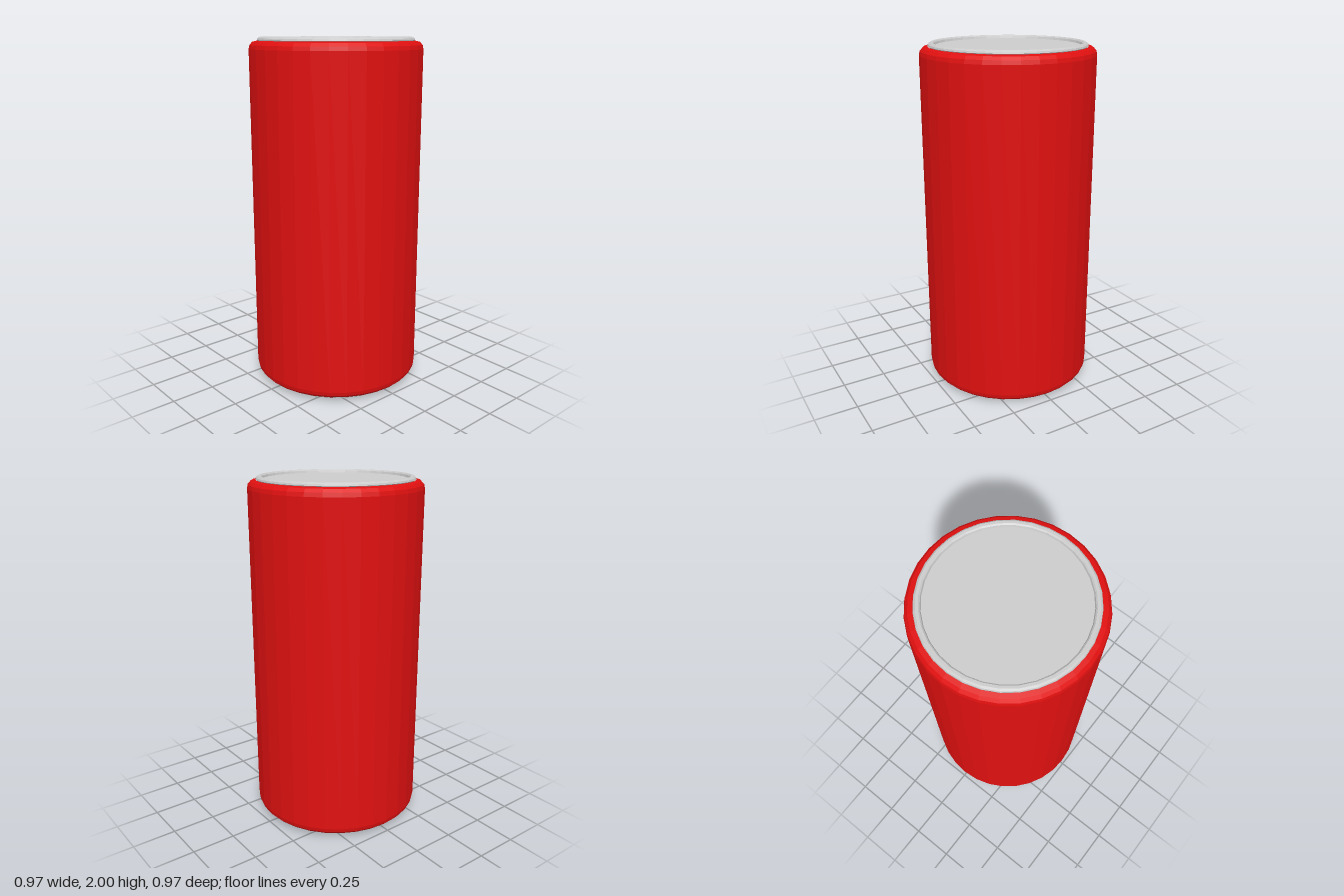
import * as THREE from 'three';

const SIDES = 32;

// Faceted solid of revolution; the profile runs from bottom to top
function turned(name, profile, color) {
  const points = profile.map(([r, y]) => new THREE.Vector2(r, y));
  const material = new THREE.MeshStandardMaterial({ color, flatShading: true });
  const mesh = new THREE.Mesh(new THREE.LatheGeometry(points, SIDES), material);
  mesh.name = name;
  return mesh;
}

export function createModel() {
  const group = new THREE.Group();
  group.name = 'can';

  // Red body with rounded shoulders, mirrored about mid height
  const shoulder = [[0.487, 1.935], [0.482, 1.957], [0.466, 1.974], [0.44, 1.98]];
  const foot = shoulder.map(([r, y]) => [r, 2 - y]).reverse();
  group.add(turned('body', [...foot, ...shoulder], 0xe01010));

  // Metal end: raised rounded rim around a slightly sunken flat disc
  const end = [[0.43, 1.975], [0.44, 1.983], [0.437, 1.992], [0.427, 2],
    [0.413, 2], [0.406, 1.994], [0.402, 1.982], [0, 1.982]];
  group.add(turned('topEnd', end, 0xcccccc));
  group.add(turned('bottomEnd', end.map(([r, y]) => [r, 2 - y]).reverse(), 0xcccccc));

  return group;
}
